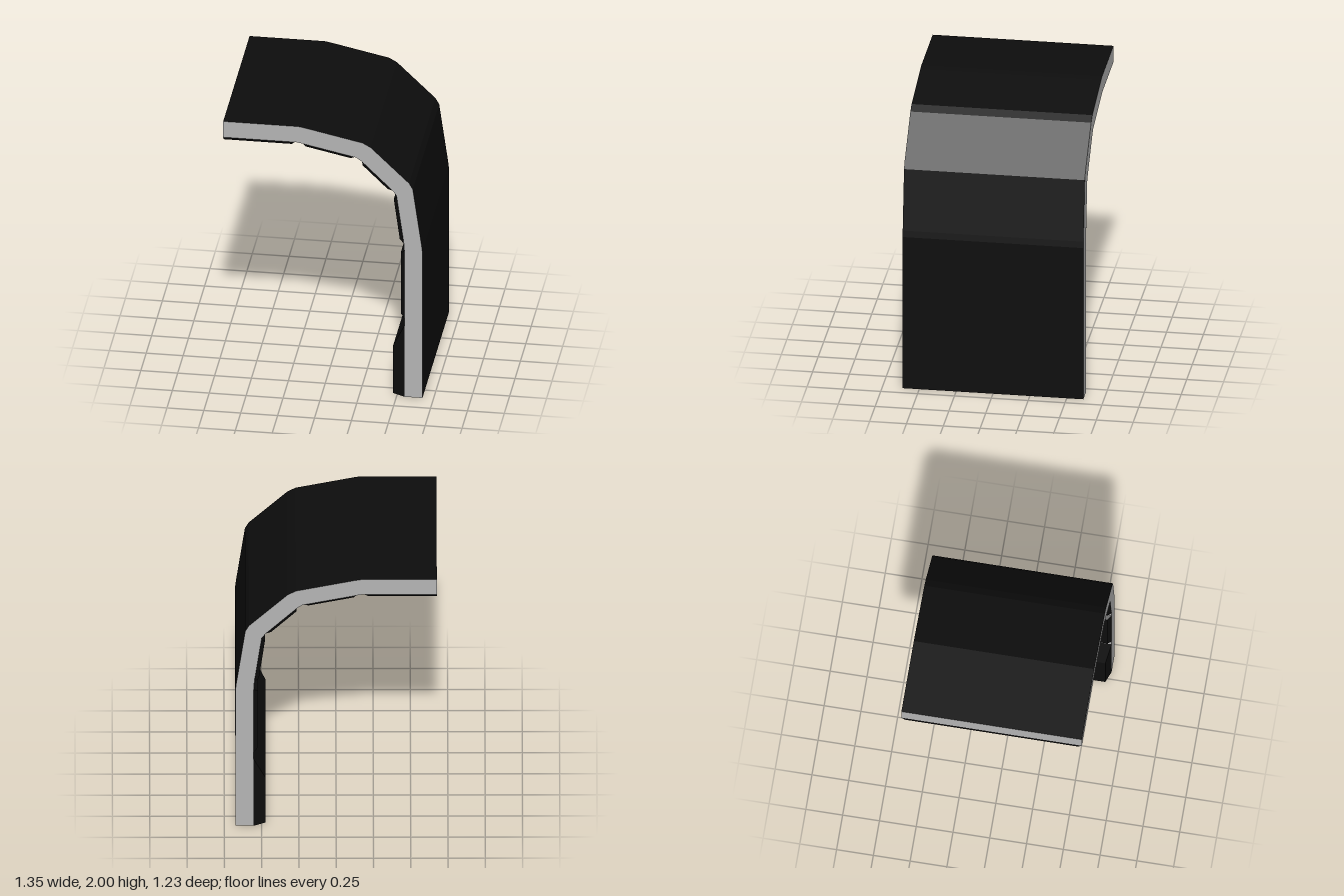
import * as THREE from 'three';

const HALF = 0.613; // half of the depth along z

const padBlack = new THREE.MeshStandardMaterial({ color: 0x0d0d0d });
padBlack.name = 'black';
const coreGrey = new THREE.MeshStandardMaterial({ color: 0xb4b4b4 });
coreGrey.name = 'grey';

// Outside and inside of the bent sheet, both running from the overhang to the floor
const outer = [[-0.675, 2], [-0.165, 2], [-0.12, 1.992], [0.27, 1.908], [0.325, 1.877],
  [0.585, 1.625], [0.61, 1.58], [0.67, 1.155], [0.675, 1.11], [0.675, 0]];
const inner = [[-0.675, 1.88], [-0.18, 1.88], [-0.14, 1.873], [0.225, 1.795], [0.267, 1.765],
  [0.472, 1.563], [0.5, 1.524], [0.548, 1.18], [0.553, 1.1], [0.553, 0]];

function flatGeometry(positions) {
  const g = new THREE.BufferGeometry();
  g.setAttribute('position', new THREE.Float32BufferAttribute(positions, 3));
  g.computeVertexNormals();
  return g;
}

// Strip across the full depth, facing the left-hand side of the path
function ribbon(path) {
  const out = [];
  for (let i = 0; i < path.length - 1; i++) {
    const [p, q] = [path[i], path[i + 1]];
    const a = [...p, HALF], b = [...q, HALF], c = [...q, -HALF], d = [...p, -HALF];
    out.push(...a, ...b, ...c, ...a, ...c, ...d);
  }
  return flatGeometry(out);
}

// Pad raised from the inside of the sheet between p and q, with chamfered edges
function pad(p, q, depth, startCut, endCut, sideCut) {
  const len = Math.hypot(q[0] - p[0], q[1] - p[1]);
  const dx = (q[0] - p[0]) / len, dy = (q[1] - p[1]) / len;
  const at = (s, h, z) => [p[0] + dx * s + dy * h, p[1] + dy * s - dx * h, z];
  const ring = (s0, s1, h, z) => [at(s0, h, z), at(s1, h, z), at(s1, h, -z), at(s0, h, -z)];
  const base = ring(0, len, 0, HALF);
  const face = ring(startCut, len - endCut, depth, HALF - sideCut);
  const out = [];
  const quad = (a, b, c, d) => out.push(...a, ...b, ...c, ...a, ...c, ...d);
  quad(face[3], face[2], face[1], face[0]);
  quad(base[0], base[1], base[2], base[3]);
  for (let i = 0; i < 4; i++) {
    const j = (i + 1) % 4;
    quad(base[i], face[i], face[j], base[j]);
  }
  return flatGeometry(out);
}

export function createModel() {
  const model = new THREE.Group();
  model.name = 'curvedPaddedPanel';
  const add = (name, geometry, material, parent = model) => {
    const mesh = new THREE.Mesh(geometry, material);
    mesh.name = name;
    parent.add(mesh);
    return mesh;
  };

  // Bent sheet: black outside, grey everywhere else
  const sheet = new THREE.Group();
  sheet.name = 'bentSheet';
  model.add(sheet);
  const last = outer.length - 1;
  add('outerSkin', ribbon(outer), padBlack, sheet);
  add('innerFaceAndEnds', ribbon([outer[last], ...inner.slice().reverse(), outer[0]]), coreGrey, sheet);
  const outline = new THREE.Shape([...outer, ...inner.slice().reverse()].map(([x, y]) => new THREE.Vector2(x, y)));
  const side = new THREE.ShapeGeometry(outline);
  add('frontEdge', side, coreGrey, sheet).position.z = HALF;
  const back = side.clone().scale(1, 1, -1);
  const order = back.index;
  for (let i = 0; i < order.count; i += 3) {
    const a = order.getX(i);
    order.setX(i, order.getX(i + 2));
    order.setX(i + 2, a);
  }
  back.computeVertexNormals();
  add('backEdge', back, coreGrey, sheet).position.z = -HALF;

  // Pads on the inside, one per flat
  const cut = 0.024;
  add('overhangPad', pad([-0.675, 1.88], [-0.19, 1.88], 0.028, 0, cut, cut), padBlack);
  const middle = [
    ['upperPad', [-0.135, 1.872], [0.215, 1.797]],
    ['slopedPad', [0.267, 1.765], [0.472, 1.563]],
    ['steepPad', [0.502, 1.514], [0.549, 1.165]],
    ['wallPad', [0.553, 1.107], [0.553, 0.597]],
  ];
  for (const [name, p, q] of middle) add(name, pad(p, q, 0.028, cut, cut, cut), padBlack);
  add('footPad', pad([0.553, 0.54], [0.553, 0], 0.08, 0.17, 0.006, 0.03), padBlack);
  return model;
}
